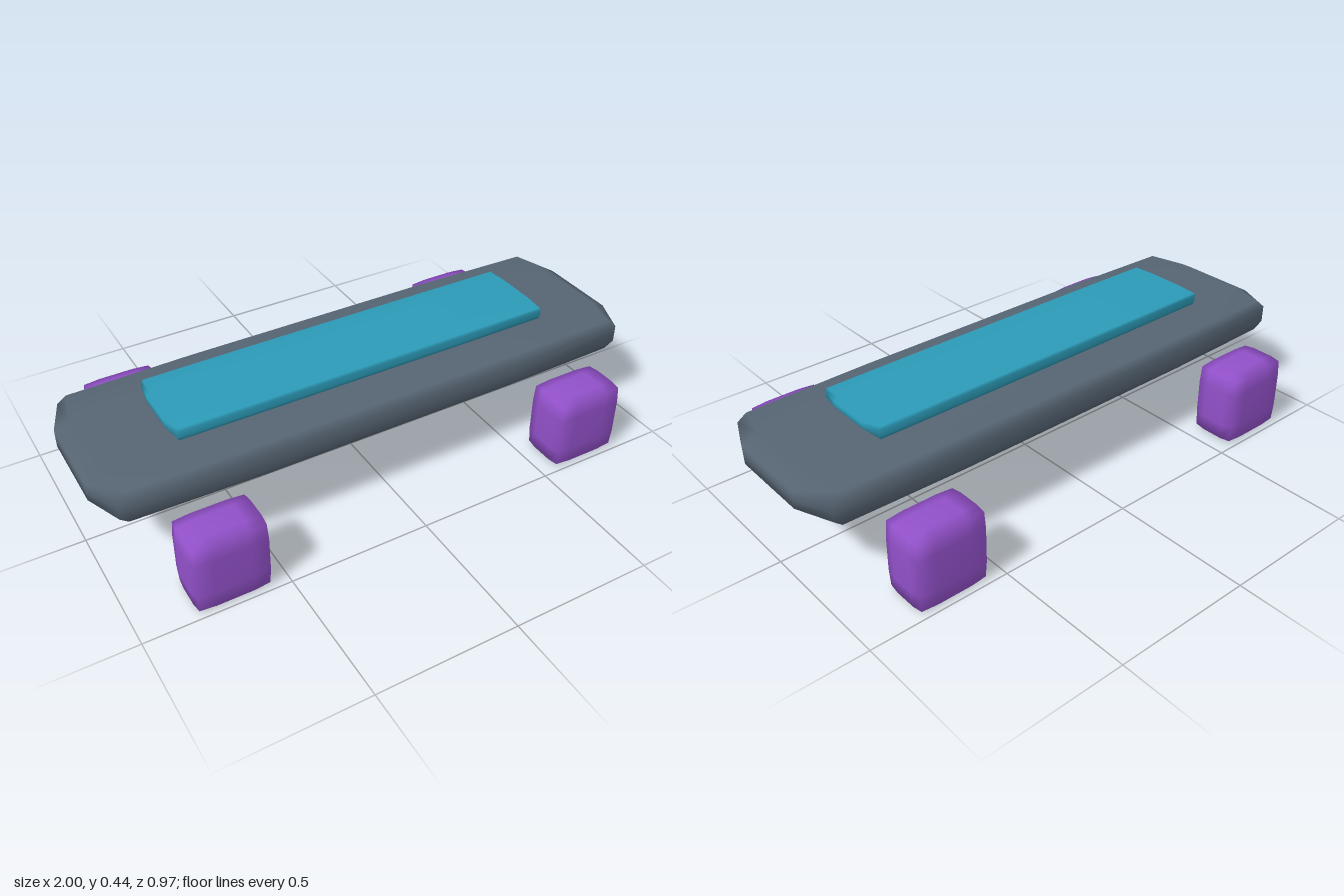
import * as THREE from 'three';
import { mergeVertices } from 'three/addons/utils/BufferGeometryUtils.js';

// Box with 4 segments per side whose edges and corners are drawn in by a
// superellipsoid rule: "inset" is the share lost at the middle of an edge.
function softBox(w, h, d, inset) {
  let geo = new THREE.BoxGeometry(2, 2, 2, 4, 4, 4);
  geo.deleteAttribute('uv');
  geo.deleteAttribute('normal');
  geo = mergeVertices(geo);
  const p = -Math.LN2 / Math.log(1 - inset);
  const pos = geo.attributes.position;
  const v = new THREE.Vector3();
  for (let i = 0; i < pos.count; i++) {
    v.fromBufferAttribute(pos, i);
    const sum = Math.abs(v.x) ** p + Math.abs(v.y) ** p + Math.abs(v.z) ** p;
    v.multiplyScalar(sum ** (-1 / p));
    pos.setXYZ(i, v.x * w / 2, v.y * h / 2, v.z * d / 2);
  }
  geo.computeVertexNormals();
  return geo;
}

export function createModel() {
  const group = new THREE.Group();
  const add = (name, geo, color, x, y, z) => {
    const mesh = new THREE.Mesh(geo, new THREE.MeshStandardMaterial({ color }));
    mesh.name = name;
    mesh.position.set(x, y, z);
    group.add(mesh);
  };

  // Deck and the grip pad floating just above it
  add('deck', softBox(2, 0.13, 0.59, 0.053), 0x566472, 0, 0.325, 0);
  add('gripPad', softBox(1.42, 0.046, 0.302, 0.016), 0x2c9ab7, 0, 0.421, 0);

  // Four wheel blocks beside the deck
  const wheel = softBox(0.26, 0.266, 0.168, 0.05);
  for (const x of [-1, 1]) {
    for (const z of [-1, 1]) {
      const name = (z > 0 ? 'front' : 'back') + (x > 0 ? 'Left' : 'Right') + 'Wheel';
      add(name, wheel, 0x9150c8, x * 0.685, 0.133, z * 0.4);
    }
  }
  return group;
}
